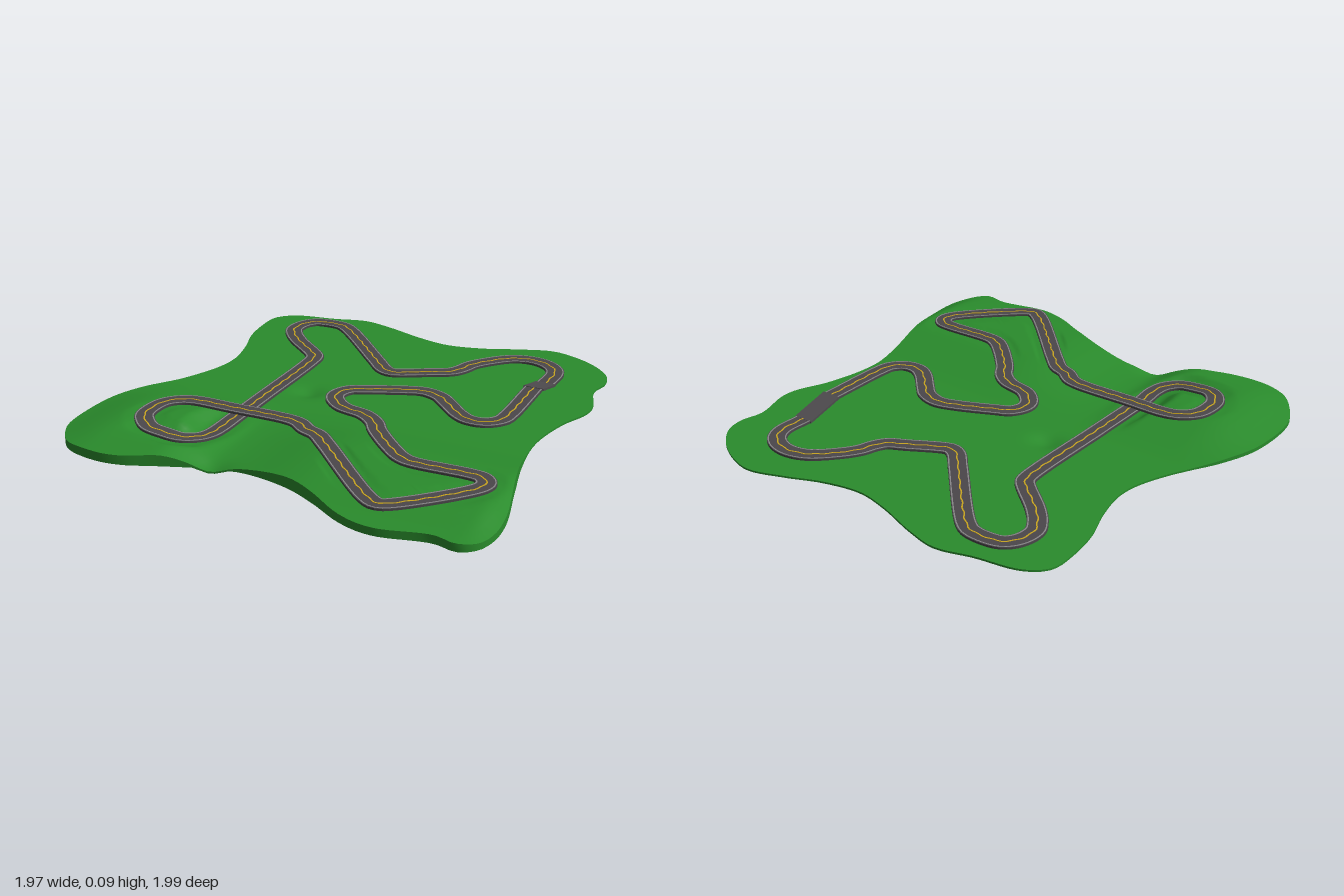
import * as THREE from 'three';

const OUTLINE = [
  [-0.39, -0.99], [-0.25, -0.96], [-0.05, -0.89], [0.1, -0.86], [0.27, -0.89], [0.42, -0.95], [0.58, -1],
  [0.68, -0.98], [0.81, -0.91], [0.9, -0.81], [0.92, -0.72], [0.9, -0.62], [0.945, -0.45], [0.94, -0.37],
  [0.88, -0.22], [0.84, 0], [0.86, 0.22], [0.91, 0.45], [0.97, 0.72], [0.97, 0.85], [0.94, 0.93],
  [0.88, 0.97], [0.78, 0.95], [0.58, 0.99], [0.5, 0.985], [0.4, 0.95], [0.25, 0.86], [0.1, 0.79],
  [-0.1, 0.755], [-0.25, 0.78], [-0.45, 0.85], [-0.58, 0.9], [-0.7, 0.91], [-0.85, 0.87], [-0.93, 0.78],
  [-0.98, 0.67], [-0.98, 0.4], [-0.92, 0.22], [-0.8, 0], [-0.74, -0.16], [-0.73, -0.27], [-0.76, -0.42],
  [-0.81, -0.57], [-0.83, -0.72], [-0.825, -0.83], [-0.79, -0.88], [-0.72, -0.92], [-0.55, -0.95],
];

// Lower half of the track, from the foot of the ramp to the underpass
const LOW_ROAD = [
  [0.69, -0.57], [0.69, -0.7], [0.66, -0.76], [0.6, -0.8], [0.53, -0.81], [0.45, -0.785], [0.36, -0.7],
  [0.31, -0.63], [0.29, -0.57], [0.26, -0.52], [0.18, -0.475], [0.04, -0.4], [0.01, -0.395], [-0.03, -0.415],
  [-0.1, -0.49], [-0.4, -0.81], [-0.45, -0.84], [-0.53, -0.845], [-0.59, -0.83], [-0.63, -0.78],
  [-0.64, -0.7], [-0.61, -0.64], [-0.55, -0.57], [-0.39, -0.425], [-0.378, -0.39], [-0.375, 0.1],
  [-0.375, 0.35], [-0.375, 0.47],
];

// Upper half, climbing round the loop, over the bridge and on to the top of the ramp
const HIGH_ROAD = [
  [-0.375, 0.55], [-0.395, 0.61], [-0.45, 0.655], [-0.52, 0.66], [-0.6, 0.65], [-0.65, 0.61], [-0.68, 0.56],
  [-0.685, 0.48], [-0.67, 0.42], [-0.62, 0.37], [-0.56, 0.35], [-0.38, 0.35], [-0.12, 0.35], [-0.06, 0.365],
  [0, 0.41], [0.06, 0.435], [0.13, 0.5], [0.48, 0.85], [0.53, 0.875], [0.58, 0.85], [0.82, 0.6],
  [0.83, 0.55], [0.8, 0.51], [0.75, 0.5], [0.5, 0.5], [0.45, 0.48], [0.38, 0.42], [0.26, 0.29],
  [0.22, 0.23], [0.15, 0.175], [0.03, 0.14], [-0.04, 0.07], [-0.05, 0.02], [-0.02, -0.04], [0.03, -0.065],
  [0.2, -0.14], [0.28, -0.16], [0.36, -0.135], [0.42, -0.08], [0.5, 0], [0.56, 0.035], [0.63, 0.03],
  [0.68, -0.02], [0.69, -0.08], [0.69, -0.4],
];
const LOW = 0.048, HIGH = 0.092;

// Skin a list of equally long rows of points
function loft(rows, flat) {
  const n = rows[0].length, index = [];
  for (let i = 0; i < rows.length - 1; i++) {
    for (let j = 0; j < n - 1; j++) {
      const a = i * n + j, d = a + n;
      index.push(a, a + 1, d, a + 1, d + 1, d);
    }
  }
  let geo = new THREE.BufferGeometry().setFromPoints(rows.flat());
  geo.setIndex(index);
  if (flat) geo = geo.toNonIndexed();
  geo.computeVertexNormals();
  return geo;
}

export function createModel() {
  const model = new THREE.Group();
  const add = (name, geo, color) => {
    const mesh = new THREE.Mesh(geo, new THREE.MeshStandardMaterial({ color, side: THREE.DoubleSide }));
    mesh.name = name;
    model.add(mesh);
    return mesh;
  };

  // Track centre line
  const points = [
    ...LOW_ROAD.map(([x, z]) => new THREE.Vector3(x, LOW, z)),
    ...HIGH_ROAD.map(([x, z], i) => new THREE.Vector3(x, THREE.MathUtils.lerp(LOW, HIGH, Math.min(1, (i + 1) / 6)), z)),
  ];
  const curve = new THREE.CatmullRomCurve3(points, false, 'centripetal');
  curve.arcLengthDivisions = 2000;
  const path = curve.getSpacedPoints(500);

  // Sweep a flat bar along the track, shifted sideways by offset(i)
  const bar = (offset, width, top, bottom) => loft(path.map((p, i) => {
    const t = path[Math.min(i + 1, 500)].clone().sub(path[Math.max(i - 1, 0)]).setY(0).normalize();
    const corner = (s, y) => {
      const o = offset(i) + s * width / 2;
      return new THREE.Vector3(p.x - t.z * o, p.y + y, p.z + t.x * o);
    };
    return [corner(-1, top), corner(1, top), corner(1, bottom), corner(-1, bottom), corner(-1, top)];
  }), true);

  add('road', bar(() => 0, 0.084, 0, -0.009), 0x4b474b);
  for (const [side, s] of [['left', 1], ['right', -1]]) {
    add(side + 'EdgeLine', bar(() => s * 0.036, 0.005, 0.0015, -0.001), 0x8a878a);
  }
  add('centreLine', bar((i) => 0.003 * Math.sin(i * 1.3), 0.006, 0.0015, -0.001), 0xc9a520);

  // Ramp joining the two ends of the track
  const rise = HIGH - LOW;
  const ramp = add('ramp', new THREE.BoxGeometry(0.092, 0.01, Math.hypot(0.18, rise)), 0x4f4c4f);
  ramp.position.set(0.69, (LOW + HIGH) / 2 - 0.003, -0.485);
  ramp.rotation.x = -Math.atan2(rise, 0.17);

  // Ground height: two front hills, two dips, cut away below the track
  const step = THREE.MathUtils.smoothstep;
  const height = (x, z) => {
    const ridge = step(z, 0.05, 0.5) * (1 - 0.55 * step(z, 0.7, 1));
    const leftHill = step(x, -1.08, -0.72) * (1 - step(x, -0.46, -0.25));
    const rightHill = step(x, -0.25, 0.25) * (1 - 0.6 * step(x, 0.88, 1));
    let h = 0.029 + 0.058 * ridge * (leftHill + rightHill);
    for (const dz of [-0.07, 0.77]) h -= 0.02 * Math.exp(-((x + 0.24) ** 2 + (z - dz) ** 2) / 0.004);
    for (const p of path) {
      const d = Math.hypot(x - p.x, z - p.z);
      h = Math.min(h, p.y - 0.011 + 0.7 * Math.max(0, d - 0.07));
    }
    return h;
  };

  // Ground: rings from the centre out to the rim, then the skirt and underside
  const rim = new THREE.CatmullRomCurve3(OUTLINE.map(([x, z]) => new THREE.Vector3(x, 0, z)), true, 'centripetal')
    .getSpacedPoints(240);
  const RINGS = 44, topRows = [], bottomRows = [];
  for (let i = 0; i <= RINGS; i++) {
    const k = i / RINGS;
    const row = rim.map((p) => new THREE.Vector3(p.x * k, height(p.x * k, p.z * k), p.z * k));
    topRows.push(row);
    bottomRows.unshift(row.map((p) => new THREE.Vector3(p.x, Math.min(0.022, p.y - 0.008), p.z)));
  }
  const green = 0x2a8c2c;
  add('groundTop', loft(topRows), green);
  add('groundSkirt', loft([topRows[RINGS], bottomRows[0]]), green);
  add('groundUnderside', loft(bottomRows), green);

  return model;
}
